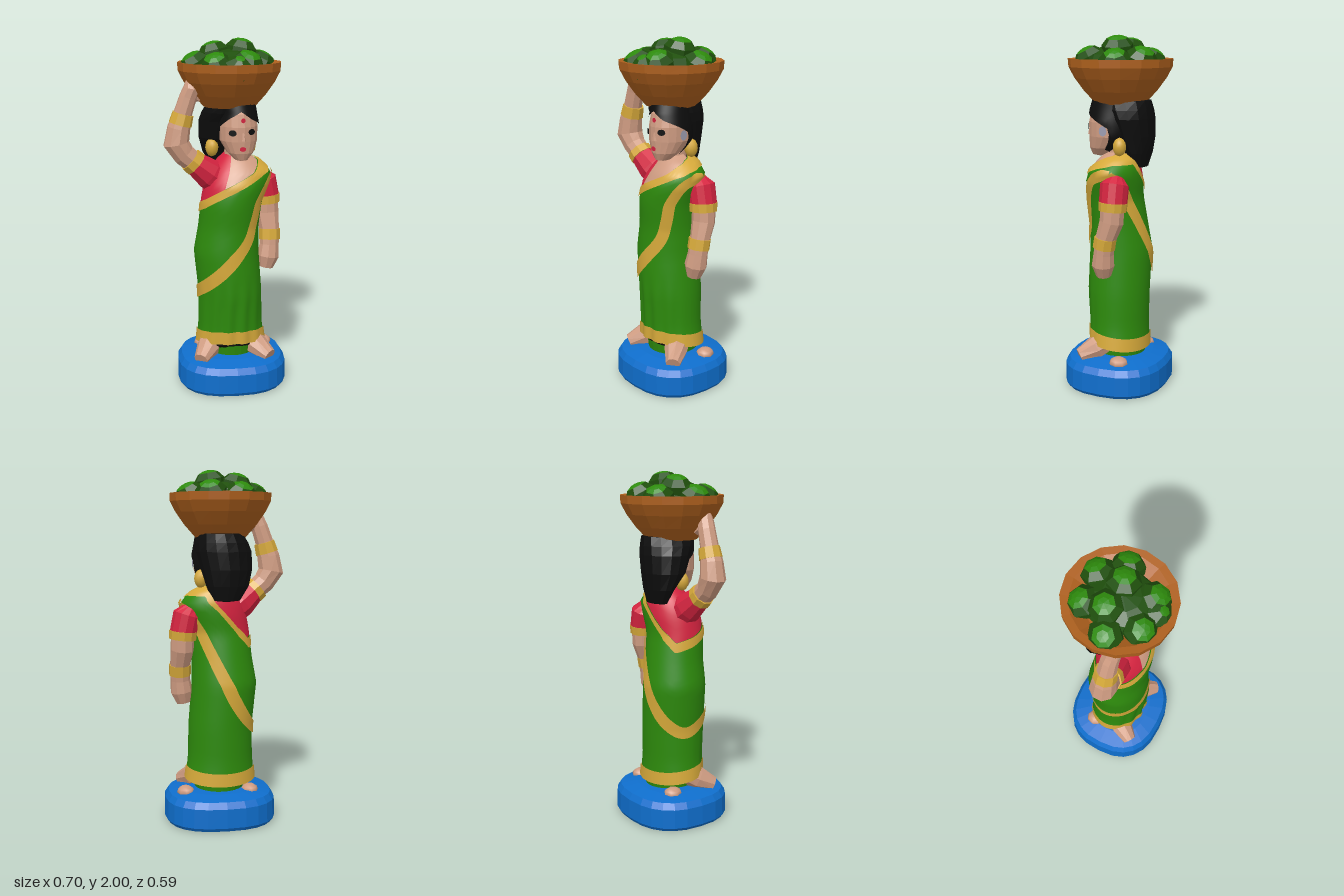
import * as THREE from 'three';

const mat = (name, color) => Object.assign(new THREE.MeshStandardMaterial({ color }), { name });
const RAD = Math.PI / 180;

// Grid surface from a rule fn(u, v) -> [x, y, z]; u runs around, v runs upward
function grid(nu, nv, fn, flat = true) {
  const pos = [], idx = [];
  for (let j = 0; j <= nv; j++)
    for (let i = 0; i <= nu; i++) pos.push(...fn(i / nu, j / nv));
  for (let j = 0; j < nv; j++)
    for (let i = 0; i < nu; i++) {
      const a = j * (nu + 1) + i, b = a + nu + 1;
      idx.push(a, b, a + 1, a + 1, b, b + 1);
    }
  let g = new THREE.BufferGeometry();
  g.setAttribute('position', new THREE.Float32BufferAttribute(pos, 3));
  g.setIndex(idx);
  if (flat) g = g.toNonIndexed();
  g.computeVertexNormals();
  return g;
}

// Rings given as [y, cx, cz, rx, rz]; power below 1 makes them squarer
function ringLoft(levels, sides, power = 1) {
  const p = c => Math.sign(c) * Math.abs(c) ** power;
  return grid(sides, levels.length - 1, (u, v) => {
    const [y, cx, cz, rx, rz] = levels[Math.round(v * (levels.length - 1))];
    const t = u * Math.PI * 2;
    return [cx + rx * p(Math.cos(t)), y, cz + rz * p(Math.sin(t))];
  });
}

// Tapered limb through points [x, y, z, radius], closed at both ends
function limbGeo(pts, sides = 9) {
  const c = pts.map(p => new THREE.Vector3(p[0], p[1], p[2]));
  const n = pts.length, ref = new THREE.Vector3(0, 0, 1);
  const rings = pts.map((p, i) => {
    const d = c[Math.min(i + 1, n - 1)].clone().sub(c[Math.max(i - 1, 0)]).normalize();
    const e1 = d.clone().cross(ref).normalize();
    return { c: c[i], e1, e2: e1.clone().cross(d), r: p[3] };
  });
  rings.unshift({ ...rings[0], r: 0 });
  rings.push({ ...rings[n], r: 0 });
  return grid(sides, n + 1, (u, v) => {
    const k = rings[Math.round(v * (n + 1))], t = u * Math.PI * 2;
    return k.c.clone().addScaledVector(k.e1, k.r * Math.cos(t)).addScaledVector(k.e2, k.r * Math.sin(t)).toArray();
  });
}

// Linear lookup in rows sorted by their first entry
function lookup(rows, x) {
  let i = 0;
  while (i < rows.length - 2 && x > rows[i + 1][0]) i++;
  const a = rows[i], b = rows[i + 1];
  const f = THREE.MathUtils.clamp((x - a[0]) / (b[0] - a[0]), 0, 1);
  return a.map((v, k) => v + (b[k] - v) * f);
}

const BODY = [
  [0.2, 0.03, 0, 0.207, 0.172], [0.36, 0.026, 0.005, 0.188, 0.17], [0.55, 0.025, 0.008, 0.185, 0.178],
  [0.8, 0.003, 0.003, 0.188, 0.178], [0.95, 0.015, 0.01, 0.174, 0.163], [1.1, 0.03, 0.027, 0.175, 0.158],
  [1.2, 0.057, 0.02, 0.183, 0.158], [1.27, 0.08, 0.005, 0.178, 0.14], [1.33, 0.07, -0.01, 0.12, 0.105],
  [1.37, 0.05, -0.01, 0.055, 0.06],
];
const HEAD = [
  [1.335, 0.075, 0.1, 0, 0], [1.345, 0.075, 0.1, 0.035, 0.045], [1.385, 0.072, 0.075, 0.075, 0.085],
  [1.45, 0.066, 0.04, 0.106, 0.125], [1.53, 0.066, 0.04, 0.108, 0.125], [1.6, 0.064, 0.03, 0.098, 0.122],
  [1.65, 0.055, 0.02, 0.06, 0.08],
];
// Neckline and hairline heights by angle (0 = her left, 90 = front)
const NECK = [[0, 1.35], [20, 1.34], [45, 1.315], [60, 1.29], [90, 1.235], [120, 1.18], [150, 1.125], [180, 1.09],
  [215, 1.06], [240, 1.13], [255, 1.2], [270, 1.28], [290, 1.36], [345, 1.36], [360, 1.35]];
const HAIRLINE = [[-60, 1.36], [-24, 1.38], [-13, 1.5], [10, 1.53], [30, 1.55], [55, 1.57], [88, 1.615],
  [125, 1.575], [150, 1.54], [180, 1.5], [195, 1.4], [240, 1.36]];

// Point on the body, with pleats at the lower front
function bodyPoint(deg, y, off = 0) {
  const [, cx, cz, rx, rz] = lookup(BODY, y);
  const t = deg * RAD, front = Math.max(0, Math.sin(t)) ** 2;
  const low = THREE.MathUtils.clamp((0.68 - y) / 0.2, 0, 1);
  const k = 1 - 0.07 * front * low * (1 + Math.sin(t * 13 + y * 3)) / 2;
  return [cx + (rx * k + off) * Math.cos(t), y, cz + (rz * k + off) * Math.sin(t)];
}

// Point on the head
function headPoint(deg, y, off) {
  const [, cx, cz, rx, rz] = lookup(HEAD, y);
  return [cx + (rx + off) * Math.cos(deg * RAD), y, cz + (rz + off) * Math.sin(deg * RAD)];
}

export function createModel() {
  const skin = mat('skin', 0xcf9c82), green = mat('sari green', 0x2d8a0c), gold = mat('gold', 0xd6a93a);
  const red = mat('blouse red', 0xd4233f), blue = mat('base blue', 0x0f6ecc), brown = mat('basket brown', 0xae601d);
  const dark = mat('dark leaf green', 0x20500d), black = mat('black', 0x0d0d0d), grey = mat('ear grey', 0x9c9cb0);

  const model = new THREE.Group();
  const add = (name, geo, material, parent = model) => {
    const m = new THREE.Mesh(geo, material);
    m.name = name;
    parent.add(m);
    return m;
  };
  const limb = (name, pts, material, sides) => add(name, limbGeo(pts, sides), material);

  // Base
  add('base', ringLoft([[0, 0.033, 0, 0, 0], [0, 0.033, 0, 0.305, 0.285], [0.02, 0.033, 0, 0.32, 0.297],
    [0.13, 0.033, 0, 0.317, 0.296], [0.165, 0.033, 0, 0.295, 0.275], [0.185, 0.033, 0, 0.2, 0.19],
    [0.2, 0.033, 0, 0, 0]], 24, 0.8), blue);

  // Feet, underskirt and dark petticoat edge
  limb('leftFoot', [[0.13, 0.27, 0.03, 0.07], [0.175, 0.225, 0.09, 0.068], [0.24, 0.185, 0.165, 0.042]], skin);
  limb('rightFoot', [[-0.08, 0.27, 0.03, 0.07], [-0.115, 0.225, 0.09, 0.068], [-0.165, 0.185, 0.17, 0.042]], skin);
  for (const [x, z] of [[0.24, -0.08], [-0.13, -0.1]]) {
    const heel = add('heel', new THREE.SphereGeometry(0.05, 8, 6), skin);
    heel.position.set(x, 0.18, z);
    heel.scale.set(1, 0.7, 1.1);
  }
  add('underskirt', ringLoft([[0.17, 0.035, -0.005, 0.14, 0.145], [0.26, 0.035, -0.005, 0.15, 0.155]], 24), green);
  add('petticoat', ringLoft([[0.235, 0.03, 0, 0.16, 0.14], [0.25, 0.03, 0, 0.19, 0.15], [0.3, 0.03, 0, 0.188, 0.15],
    [0.3, 0.03, 0, 0, 0]], 24), black);

  // Sari and blouse as patches of the body between two height rules
  const patch = (name, material, lo, hi, off = 0, d0 = 0, d1 = 360, nv = 24) =>
    add(name, grid(Math.round((d1 - d0) / 4), nv, (u, v) => {
      const d = d0 + (d1 - d0) * u, a = lo(d), b = hi(d);
      return bodyPoint(d, a + (b - a) * v, off);
    }, false), material);
  const hem = d => 0.245 + 0.024 * Math.sin(d * RAD);
  const neck = d => lookup(NECK, d)[1];
  const top = () => 1.37;
  patch('sari', green, hem, neck);
  patch('hemBorder', gold, hem, d => hem(d) + 0.075, 0.006, 0, 360, 3);
  patch('neckBorder', gold, d => neck(d) - 0.055, neck, 0.006, 0, 360, 4);
  patch('blouse', red, neck, top, 0, 115, 300, 8);
  patch('chest', skin, neck, top, 0, 0, 115, 8);

  // Border of the draped cloth, one loop from the left shoulder around the body
  const path = new THREE.CatmullRomCurve3([[-15, 1.26], [5, 1.25], [24, 1.22], [37, 1.14], [46, 1.0], [55, 0.9], [82, 0.785],
    [115, 0.68], [150, 0.6], [195, 0.54], [225, 0.59], [258, 0.72], [285, 0.9], [305, 1.05], [325, 1.2], [345, 1.26]]
    .map(([d, y]) => new THREE.Vector3(d * RAD * 0.18, y, 0)));
  add('drapeBorder', grid(120, 3, (u, v) => {
    const p = path.getPoint(u), t = path.getTangent(u);
    const w = (v - 0.5) * (0.04 + 0.028 * Math.min(1, Math.sin(u * Math.PI) * 5));
    return bodyPoint((p.x - t.y * w) / 0.18 / RAD, p.y + t.x * w, 0.009);
  }, false), gold);

  // Raised right arm
  limb('rightSleeve', [[-0.03, 1.2, 0.015, 0.085], [-0.1, 1.255, 0.03, 0.088], [-0.18, 1.32, 0.05, 0.068]], red);
  limb('rightCuff', [[-0.172, 1.313, 0.05, 0.073], [-0.205, 1.342, 0.053, 0.07]], gold);
  limb('rightArm', [[-0.17, 1.31, 0.05, 0.058], [-0.24, 1.37, 0.056, 0.064], [-0.283, 1.435, 0.058, 0.074],
    [-0.268, 1.52, 0.06, 0.065], [-0.245, 1.6, 0.062, 0.052], [-0.215, 1.69, 0.065, 0.049],
    [-0.195, 1.74, 0.07, 0.047], [-0.2, 1.79, 0.07, 0.025]], skin);
  limb('rightBangle', [[-0.26, 1.54, 0.06, 0.066], [-0.243, 1.6, 0.06, 0.06]], gold);
  limb('rightFingers', [[-0.2, 1.72, 0.06, 0.03], [-0.15, 1.68, 0.04, 0.025]], skin, 6);

  // Lowered left arm
  limb('leftSleeve', [[0.2, 1.235, -0.05, 0.045], [0.222, 1.2, -0.05, 0.08], [0.245, 1.09, -0.05, 0.078]], red, 12);
  limb('leftCuff', [[0.243, 1.108, -0.05, 0.081], [0.247, 1.06, -0.048, 0.078]], gold, 12);
  limb('leftArm', [[0.248, 1.1, -0.05, 0.067], [0.252, 1.0, -0.045, 0.067], [0.261, 0.9, -0.012, 0.057],
    [0.258, 0.82, 0, 0.057], [0.25, 0.75, 0.008, 0.064], [0.238, 0.685, 0.01, 0.042]], skin);
  limb('leftBangle', [[0.261, 0.91, -0.012, 0.063], [0.26, 0.85, -0.002, 0.063]], gold);

  // Head, neck and hair
  add('neck', new THREE.CylinderGeometry(0.058, 0.07, 0.14, 10), skin).position.set(0.055, 1.37, 0);
  add('face', ringLoft(HEAD, 18), skin);
  add('hair', ringLoft([[1.27, 0.01, -0.11, 0, 0], [1.28, 0.01, -0.11, 0.08, 0.045], [1.36, 0.0, -0.105, 0.12, 0.07],
    [1.45, 0.0, -0.075, 0.145, 0.115], [1.55, 0.012, -0.055, 0.158, 0.138], [1.6, 0.02, -0.035, 0.15, 0.155],
    [1.65, 0.03, -0.02, 0.13, 0.16], [1.66, 0.03, 0, 0, 0]], 16), black);
  add('hairline', grid(75, 8, (u, v) => {
    const d = -60 + 300 * u, a = lookup(HAIRLINE, d)[1], y = a + (1.65 - a) * v;
    return headPoint(d, y, 0.009 + 0.04 * THREE.MathUtils.clamp((y - 1.6) / 0.05, 0, 1));
  }, false), black);
  limb('nose', [[0.076, 1.5, 0.155, 0.01], [0.077, 1.455, 0.158, 0.016]], skin, 6);

  // Painted features, placed by angle around the head, and jewellery
  const mark = (name, deg, y, rx, ry, material) => {
    const m = add(name, new THREE.CircleGeometry(1, 12), material);
    m.position.set(...headPoint(deg, y, 0.006));
    m.rotation.y = (90 - deg) * RAD;
    m.scale.set(rx, ry, 1);
  };
  mark('rightEye', 115, 1.5, 0.023, 0.017, black);
  mark('leftEye', 59, 1.505, 0.023, 0.017, black);
  mark('lips', 87, 1.412, 0.018, 0.013, red);
  mark('foreheadDot', 84, 1.568, 0.013, 0.013, red);
  mark('leftEar', 0, 1.485, 0.023, 0.028, grey);
  for (const [x, z] of [[0.143, -0.045], [-0.078, 0.0]]) {
    const e = add('earring', new THREE.IcosahedronGeometry(0.038, 1), gold);
    e.position.set(x, 1.4, z);
    e.scale.set(1, 1.4, 1);
  }

  // Basket with its inner floor
  add('basket', ringLoft([[1.63, 0, 0], [1.63, 0.145, 0.14], [1.7, 0.207, 0.205], [1.77, 0.256, 0.257],
    [1.83, 0.287, 0.289], [1.875, 0.289, 0.293], [1.87, 0.25, 0.25], [1.835, 0.18, 0.18], [1.835, 0, 0]]
    .map(([y, rx, rz]) => [y, 0.022, 0, rx, rz]), 16), brown);

  // Heap of leafy bundles: dark bodies with bright caps leaning outward
  const flat = g => { const f = g.toNonIndexed(); f.computeVertexNormals(); return f; };
  const core = add('heapCore', flat(new THREE.SphereGeometry(1, 10, 6)), dark);
  core.position.set(0.025, 1.85, 0.01);
  core.scale.set(0.18, 0.095, 0.2);
  const heap = [[-0.065, -0.15, 1.93], [0.1, -0.155, 1.94], [-0.17, 0.02, 1.93], [-0.06, -0.03, 1.985], [0.085, -0.01, 2.0],
    [0.2, -0.045, 1.93], [-0.07, 0.155, 1.93], [0.1, 0.15, 1.94], [0.045, 0.19, 1.915]];
  heap.forEach(([x, z, y], i) => {
    const bundle = new THREE.Group();
    bundle.name = 'leafBundle';
    const cut = i > 7 ? 0.3 : 0.68;
    add('leafCap', flat(new THREE.SphereGeometry(0.092, 7, 2, 0, Math.PI * 2, 0, cut)), green, bundle);
    add('leafBody', flat(new THREE.SphereGeometry(0.092, 7, 4, 0, Math.PI * 2, cut, Math.PI - cut)), dark, bundle);
    bundle.position.set(x, y - 0.07, z);
    bundle.scale.y = 0.78;
    const lean = new THREE.Vector3((x - 0.02) * 3, 1, z * 3).normalize();
    bundle.quaternion.setFromUnitVectors(new THREE.Vector3(0, 1, 0), lean);
    model.add(bundle);
  });

  return model;
}
